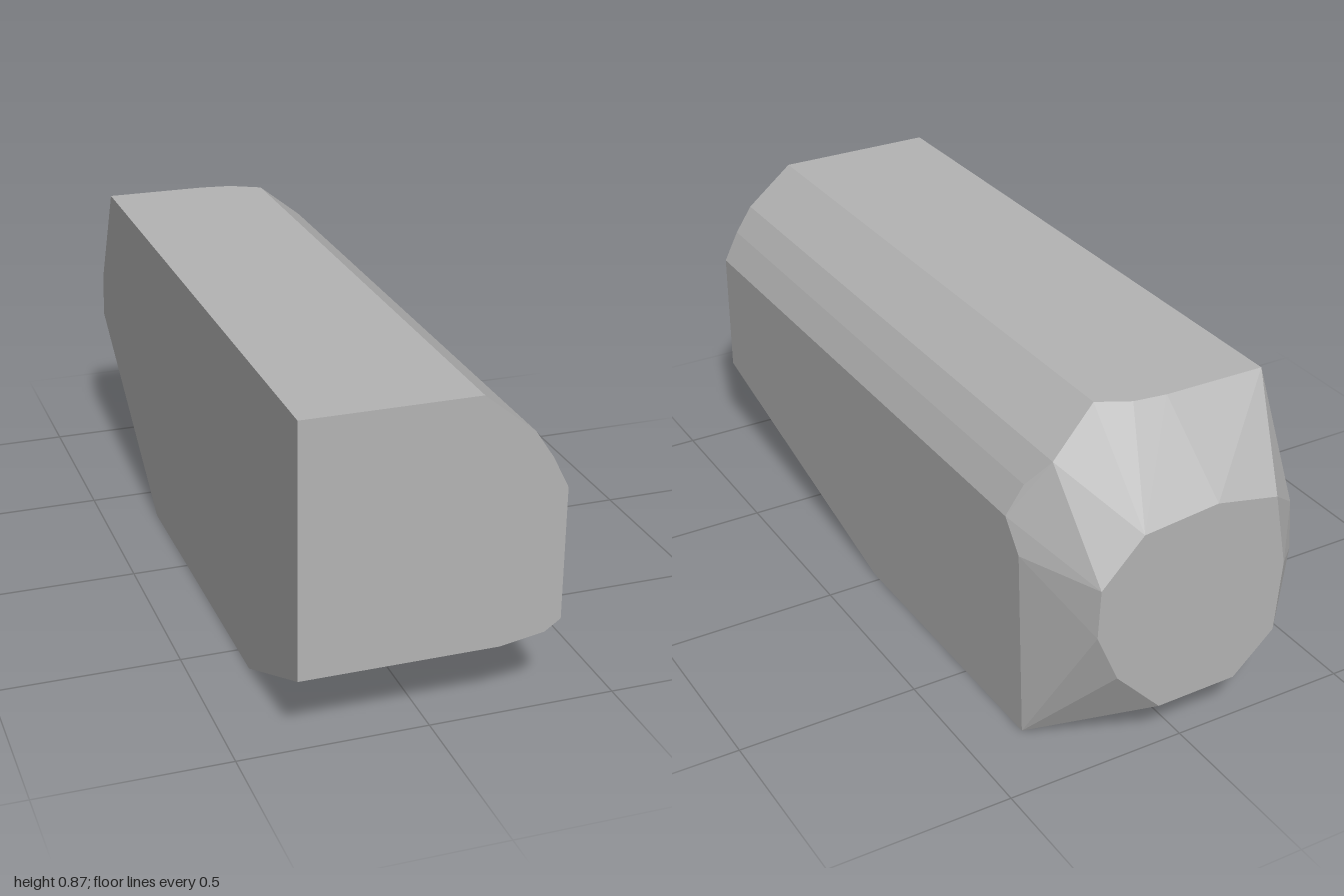
import * as THREE from 'three';
import { ConvexGeometry } from 'three/addons/geometries/ConvexGeometry.js';

export function createModel() {
  const grey = new THREE.MeshStandardMaterial({ color: 0xb4b4b4 });
  grey.name = 'grey';

  const L = -0.343, R = 0.343, TOP = 0.87;

  // flat front end: square left side, rounded upper right corner
  const frontFace = [
    [L, 0.19], [L, TOP], [0.115, TOP], [0.25, 0.76], [0.3, 0.685],
    [R, 0.6], [R, 0.24], [0.3, 0.21], [0.18, 0.19],
  ].map(([x, y]) => [x, y, 1]);

  // small rounded back end
  const backFace = [
    [0.137, 0.646], [-0.075, 0.668], [-0.254, 0.632], [-0.293, 0.425], [-0.276, 0.227],
    [-0.159, 0.119], [0.07, 0.115], [0.2, 0.25], [0.262, 0.391], [0.255, 0.525],
  ].map(([x, y]) => [x, y, -1]);

  // underside, bevelled towards both ends
  const underside = [
    [L, 0, 0.6], [-0.05, 0, 0.6], [0.125, 0.008, 0.57], [R, 0, 0.03],
    [R, 0, -0.79], [0.25, 0, -0.8], [L, 0, -0.34],
  ];

  // shoulder where the long sides turn in to the back end
  const shoulder = [
    [R, 0.52, -0.765], [R, 0.6, -0.7], [0.3, 0.685, -0.715], [0.25, 0.76, -0.765],
    [0.115, TOP, -0.73], [0.03, TOP, -0.775], [-0.06, TOP, -0.787], [L, TOP, -0.79],
    [L, 0.56, -0.945], [L, 0.43, -0.958],
  ];

  // the block is the convex skin around these sections
  const points = [...frontFace, ...backFace, ...underside, ...shoulder]
    .map((p) => new THREE.Vector3(...p));
  const block = new THREE.Mesh(new ConvexGeometry(points), grey);
  block.name = 'bevelledBlock';

  const group = new THREE.Group();
  group.name = 'model';
  group.add(block);
  return group;
}
